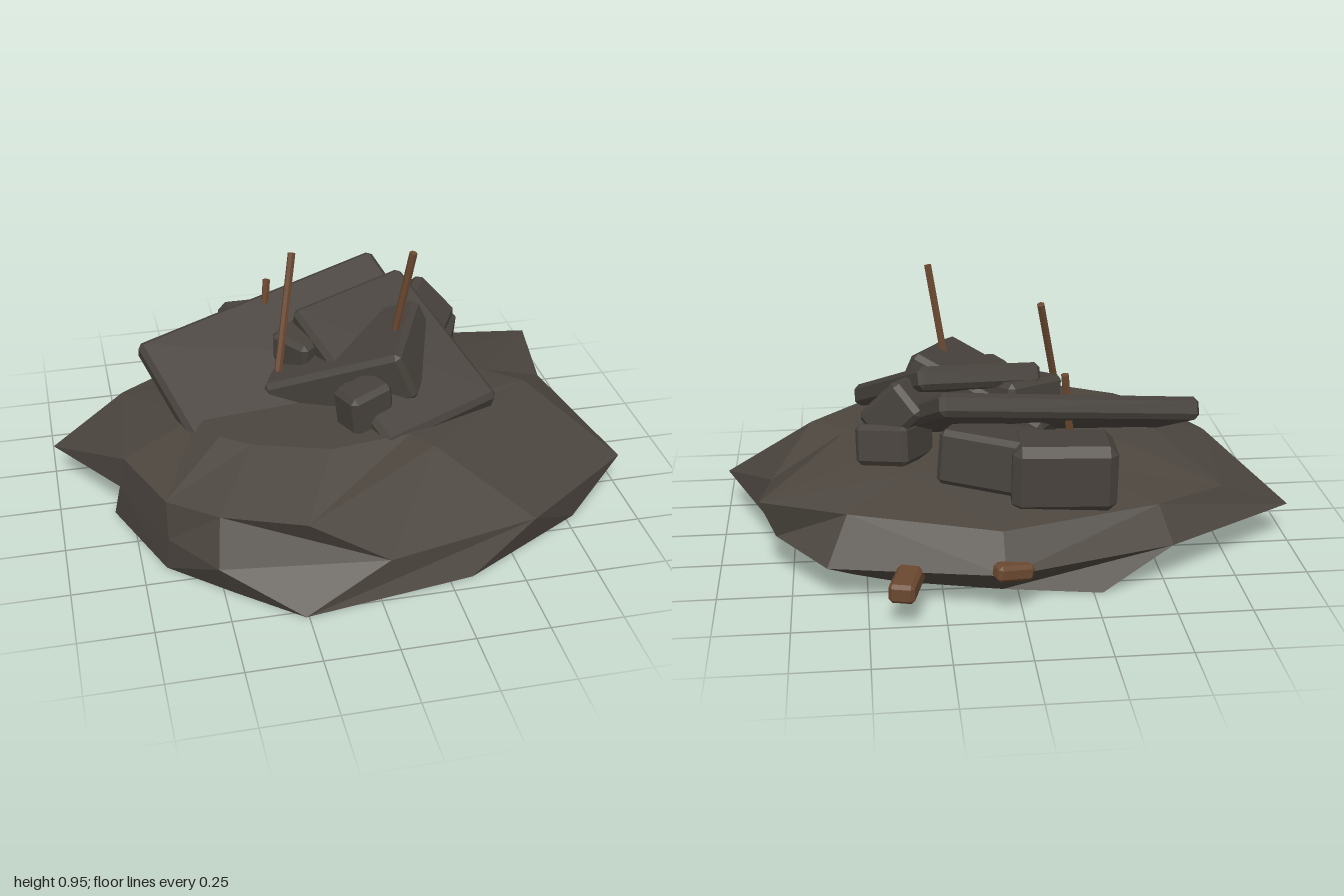
import * as THREE from 'three';
import { ConvexGeometry } from 'three/addons/geometries/ConvexGeometry.js';

const mat = (name, color) => {
  const m = new THREE.MeshStandardMaterial({ color });
  m.name = name;
  return m;
};
const V = (p) => new THREE.Vector3(...p);

// Box with cut edges: each corner is replaced by three points
function chamferBox(w, h, d, c) {
  const pts = [];
  for (const x of [-1, 1]) for (const y of [-1, 1]) for (const z of [-1, 1]) {
    const [a, b, e] = [x * w / 2, y * h / 2, z * d / 2];
    pts.push(
      new THREE.Vector3(a, b - y * c, e - z * c),
      new THREE.Vector3(a - x * c, b, e - z * c),
      new THREE.Vector3(a - x * c, b - y * c, e));
  }
  return new ConvexGeometry(pts);
}

// Low-poly shell through horizontal rings, closed at both ends
function loft(rings, bottom, top) {
  const pos = [];
  const tri = (...p) => p.forEach((q) => pos.push(...q));
  const n = rings[0].length;
  for (let i = 0; i < n; i++) {
    const j = (i + 1) % n;
    for (let r = 0; r < rings.length - 1; r++) {
      const [lo, hi] = [rings[r], rings[r + 1]];
      if (i % 2) {
        tri(lo[i], hi[i], lo[j]);
        tri(lo[j], hi[i], hi[j]);
      } else {
        tri(lo[i], hi[i], hi[j]);
        tri(lo[i], hi[j], lo[j]);
      }
    }
    tri(bottom, rings[0][i], rings[0][j]);
    const last = rings[rings.length - 1];
    tri(top, last[j], last[i]);
  }
  const g = new THREE.BufferGeometry();
  g.setAttribute('position', new THREE.Float32BufferAttribute(pos, 3));
  g.computeVertexNormals();
  return g;
}

export function createModel() {
  const group = new THREE.Group();
  group.name = 'rubblePile';
  const earth = mat('earth', 0x4b453e);
  const stone = mat('stone', 0x46413b);
  const wood = mat('wood', 0x6a4830);

  const add = (name, geo, material) => {
    const m = new THREE.Mesh(geo, material);
    m.name = name;
    group.add(m);
    return m;
  };
  // Block placed by its centre, its long direction and its depth direction
  const block = (name, centre, size, xDir, zDir, material = stone, cut = 0.018) => {
    const m = add(name, chamferBox(...size, cut), material);
    const x = V(xDir).normalize();
    const y = V(zDir).cross(x).normalize();
    const z = x.clone().cross(y);
    m.quaternion.setFromRotationMatrix(new THREE.Matrix4().makeBasis(x, y, z));
    m.position.set(...centre);
  };
  const rod = (name, from, to, r) => {
    const dir = V(to).sub(V(from));
    const g = new THREE.CylinderGeometry(r, r, dir.length(), 6).toNonIndexed();
    g.computeVertexNormals();
    const m = add(name, g, wood);
    m.position.copy(V(from)).addScaledVector(dir, 0.5);
    m.quaternion.setFromUnitVectors(new THREE.Vector3(0, 1, 0), dir.normalize());
  };

  // Mound: base, widest, shoulder and crown rings
  const base = [[-.64, 0, -.16], [-.28, 0, -.58], [.05, 0, -.52], [.4, 0, -.43], [.55, 0, -.36], [.65, 0, -.05],
    [.78, 0, .43], [.33, 0, .69], [-.26, 0, .78], [-.47, 0, .6], [-.67, 0, .42], [-.81, 0, .06]];
  const wide = [[-1, .13, -.22], [-.52, .15, -.55], [.06, .16, -.74], [.63, .13, -.57], [.8, .16, -.37], [.84, .13, -.15],
    [1, .13, .28], [.58, .13, .59], [.04, .13, .71], [-.52, .13, .64], [-.66, .13, .44], [-.79, .15, .12]];
  const shoulder = [[-.73, .26, -.33], [-.48, .27, -.48], [.06, .27, -.64], [.56, .28, -.48], [.85, .3, -.4], [.82, .26, -.12],
    [.68, .385, .1], [.24, .41, .49], [-.23, .29, .68], [-.5, .28, .56], [-.66, .27, .42], [-.77, .28, .15]];
  const crown = [[-.42, .36, -.15], [-.25, .34, -.3], [.06, .34, -.32], [.35, .34, -.3], [.5, .36, -.2], [.55, .39, 0],
    [.45, .41, .2], [.18, .41, .4], [-.1, .4, .42], [-.35, .39, .32], [-.45, .39, .25], [-.5, .38, .08]];
  add('mound', loft([base, wide, shoulder, crown], [0, 0, 0], [0, .4, .05]), earth);

  // Large tilted slabs
  block('rearSlab', [-.125, .46, -.11], [.97, .08, .56], [.92, .15, -.27], [.17, -.24, .47]);
  block('frontSlab', [.2, .52, .07], [.46, .08, .64], [.42, .05, -.15], [.21, -.25, .53]);

  // Thick block leaning on both slabs, its right end raised
  block('leaningBlock', [.062, .478, .006], [.53, .19, .365], [.43, .2, .23], [-.15, -.04, .33]);

  // Broken blocks heaped around and under the slabs
  block('backBlock', [-.16, .385, -.43], [.35, .23, .22], [1, .02, .03], [0, -.02, 1], stone, .03);
  block('sideBlock', [.35, .53, -.17], [.2, .15, .26], [.6, -.65, .25], [-.35, -.25, .9]);
  block('lowSideBlock', [.39, .42, -.19], [.19, .14, .26], [.9, -.1, .4], [-.4, -.2, .9]);
  block('smallFrontBlock', [.05, .46, .27], [.17, .17, .13], [.9, .12, -.4], [.4, 0, .9]);
  block('rearFiller', [.06, .405, -.34], [.34, .19, .21], [.9, .05, .4], [-.4, -.1, .9]);
  block('middleBlock', [-.06, .53, -.1], [.26, .14, .16], [.75, .1, -.6], [.6, -.1, .75]);

  // Wooden poles and planks
  rod('tallPole', [.195, .6, .085], [.25, .95, .125], .014);
  rod('leaningPole', [-.2, .48, .01], [-.12, .87, -.125], .014);
  rod('rearPole', [-.21, .4, -.27], [-.18, .68, -.31], .014);
  block('rearPlank', [.375, .13, -.69], [.085, .065, .19], [1, 0, .25], [-.25, 0, 1], wood, .012);
  block('plankShard', [.035, .165, -.715], [.13, .055, .06], [.9, .15, -.35], [.35, 0, .9], wood, .012);
  return group;
}
